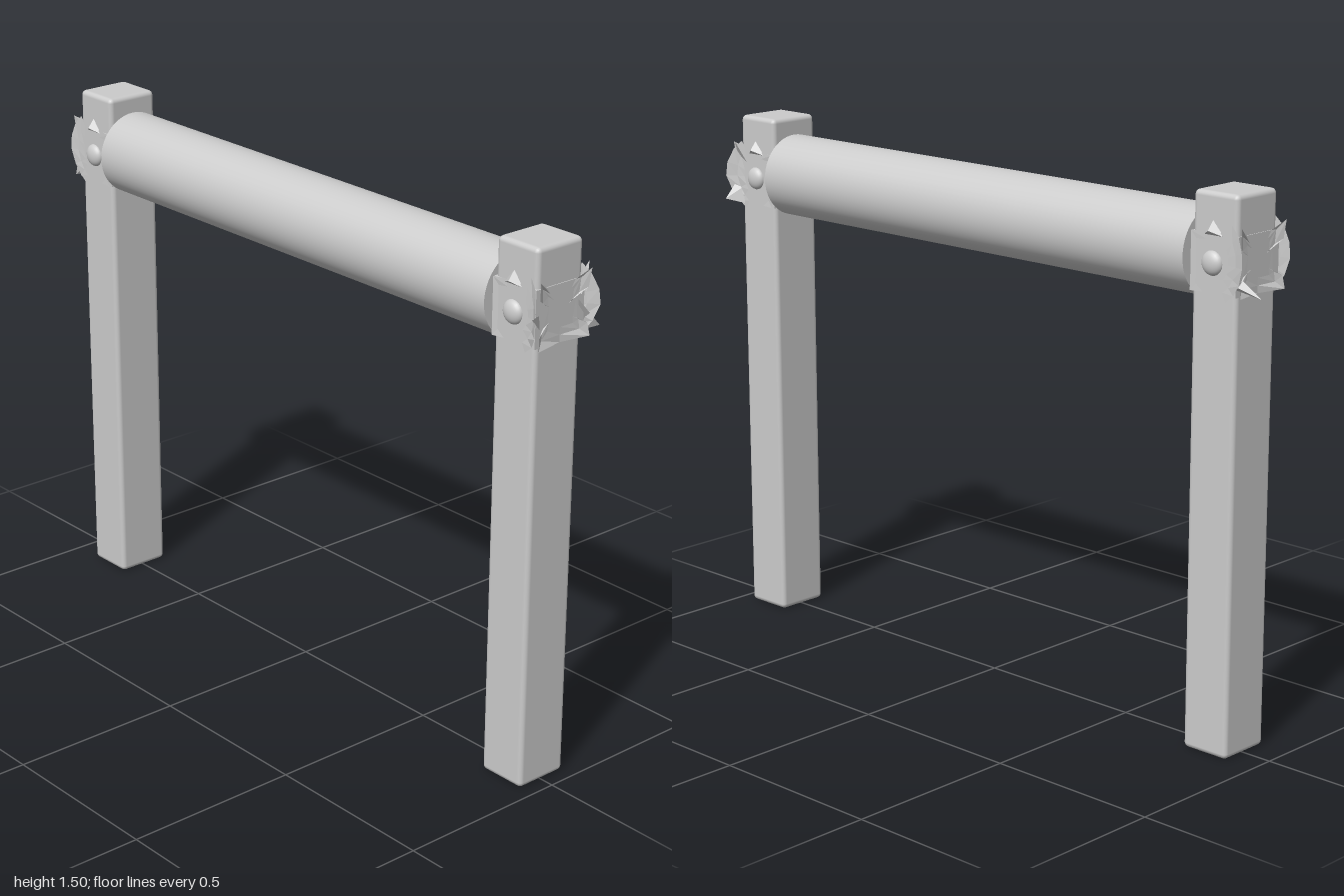
import * as THREE from 'three';
import { RoundedBoxGeometry } from 'three/addons/geometries/RoundedBoxGeometry.js';
import { ConvexGeometry } from 'three/addons/geometries/ConvexGeometry.js';

const smooth = new THREE.MeshStandardMaterial({ color: 0xcccccc });
const metal = new THREE.MeshStandardMaterial({ color: 0xcccccc, flatShading: true, side: THREE.DoubleSide });
const JOINT_Y = 1.325;

function add(parent, name, geometry, material, x = 0, y = 0, z = 0) {
  const mesh = new THREE.Mesh(geometry, material);
  mesh.name = name;
  mesh.position.set(x, y, z);
  parent.add(mesh);
  return mesh;
}

// Thin sheet filled in rings from its centre to a ragged outline; the outer edge curls away.
function tornSheet(outline, curl) {
  const rings = 4, n = outline.length, pos = [0, 0, 0], index = [];
  for (let r = 1; r <= rings; r++) {
    for (const [px, py] of outline) {
      const x = px * r / rings, y = py * r / rings;
      const over = Math.max(0, Math.abs(x) - 0.055);
      pos.push(x, y, curl * over * over);
    }
  }
  for (let i = 0; i < n; i++) {
    const j = (i + 1) % n;
    index.push(0, 1 + i, 1 + j);
    for (let r = 0; r < rings - 1; r++) {
      const a = 1 + r * n + i, b = 1 + r * n + j;
      index.push(a, a + n, b + n, a, b + n, b);
    }
  }
  const g = new THREE.BufferGeometry();
  g.setAttribute('position', new THREE.Float32BufferAttribute(pos, 3));
  g.setIndex(index);
  g.computeVertexNormals();
  return g;
}

// Bent spike of sheet metal: a base edge, a ridge point and a tip
function shard(parent, points) {
  add(parent, 'tornShard', new ConvexGeometry(points.map(p => new THREE.Vector3(...p))), metal);
}

// Outlines are written with +x pointing to the outer side of the post
const faceOutline = [
  [-0.07, -0.08], [-0.03, -0.078], [0.02, -0.08], [0.045, -0.095], [0.07, -0.075],
  [0.09, -0.045], [0.103, 0.0], [0.1, 0.04], [0.085, 0.08], [0.06, 0.105],
  [0.045, 0.085], [0.015, 0.078], [-0.03, 0.08], [-0.07, 0.075]
];
const sideOutline = [
  [-0.09, -0.08], [0, -0.08], [0.09, -0.08], [0.085, -0.045], [0.06, -0.03], [0.055, 0.03],
  [0.085, 0.05], [0.09, 0.1], [0.05, 0.075], [-0.05, 0.075], [-0.09, 0.1],
  [-0.085, 0.05], [-0.055, 0.03], [-0.06, -0.03], [-0.085, -0.045]
];

function joint(side) {
  const g = new THREE.Group();
  g.name = side > 0 ? 'leftJoint' : 'rightJoint';

  // Band wrapped around the post
  add(g, 'band', new THREE.BoxGeometry(0.15, 0.155, 0.17), metal, 0, -0.003, 0);

  // Torn plates, bolts and crumpled tabs on front and back
  for (const dir of [1, -1]) {
    const outline = faceOutline.map(([x, y]) => [x * side * dir, y]);
    const plate = add(g, 'tornPlate', tornSheet(outline, side > 0 ? 12 : 4), metal, 0, 0, dir * 0.088);
    plate.rotation.y = dir > 0 ? 0 : Math.PI;
    const bolt = add(g, 'bolt', new THREE.SphereGeometry(0.033, 20, 8, 0, Math.PI * 2, 0, Math.PI / 2),
      smooth, 0, 0, dir * 0.086);
    bolt.rotation.x = dir * Math.PI / 2;
    bolt.scale.y = 0.6;
    shard(g, [[-0.035, 0.07, dir * 0.086], [0.03, 0.07, dir * 0.086],
      [0.0, 0.11, dir * 0.088], [0.0, 0.085, dir * 0.108]]);
  }

  // Ragged sheet on the outer face
  const outer = add(g, 'outerSheet', tornSheet(sideOutline, 14), metal, side * 0.077, 0, 0);
  outer.rotation.y = side * Math.PI / 2;
  return g;
}

export function createModel() {
  const model = new THREE.Group();

  // Upright posts
  const postX = { left: 0.8875, right: -0.8425 };
  for (const [name, x] of Object.entries(postX)) {
    add(model, name + 'Post', new RoundedBoxGeometry(0.145, 1.505, 0.16, 2, 0.014), smooth, x, 0.7525, 0);
  }

  // Round crossbeam
  const beam = add(model, 'crossbeam', new THREE.CylinderGeometry(0.118, 0.118, 1.585, 48), smooth, 0.0225, 1.335, 0);
  beam.rotation.z = Math.PI / 2;

  // Joints with their individual spikes
  const left = joint(1), right = joint(-1);
  left.position.set(postX.left, JOINT_Y, 0);
  right.position.set(postX.right, JOINT_Y, 0);
  shard(left, [[0.07, -0.04, 0.06], [0.08, 0.01, 0.08], [0.07, 0.0, 0.09], [0.112, 0.02, 0.135]]);
  shard(left, [[0.06, -0.03, -0.08], [0.08, 0.02, -0.06], [0.05, -0.08, -0.09], [0.085, -0.065, -0.135]]);
  shard(left, [[0.04, 0.04, -0.086], [0.08, 0.03, -0.07], [0.08, 0.07, -0.09], [0.06, 0.105, -0.115]]);
  shard(right, [[-0.07, -0.06, -0.08], [-0.09, -0.035, -0.075], [-0.09, -0.05, -0.095], [-0.157, -0.07, -0.086]]);
  model.add(left, right);
  return model;
}
